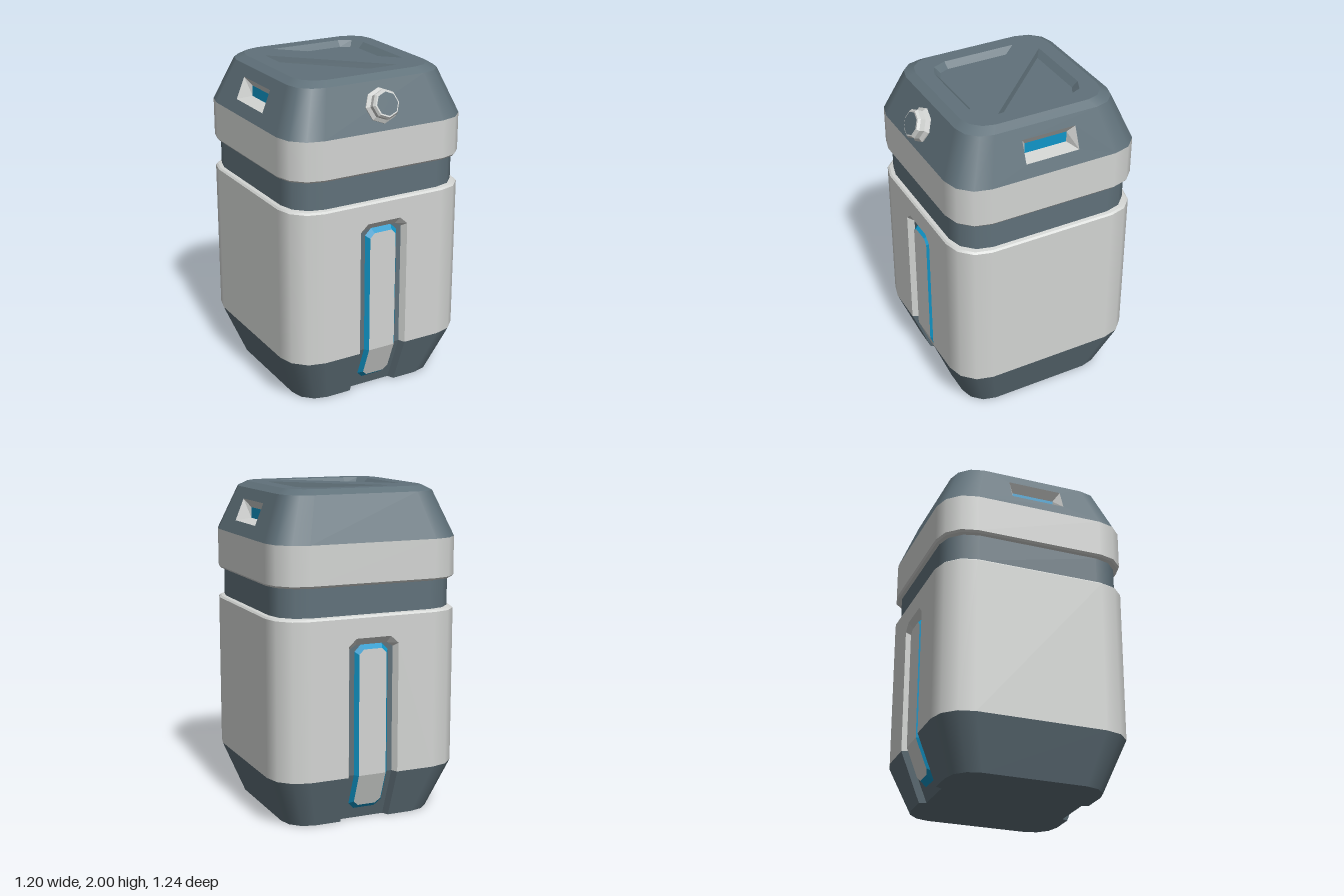
import * as THREE from 'three';
import { mergeGeometries } from 'three/addons/utils/BufferGeometryUtils.js';

const V = (x, y, z) => new THREE.Vector3(x, y, z);
const shapeOf = (pts) => new THREE.Shape(pts.map(([x, y]) => new THREE.Vector2(x, y)));
const lerp = THREE.MathUtils.lerp;

// Body half-width at a height, for the channel region
const bodyHalf = (y) => (y < 0.31 ? lerp(0.48, 0.6, y / 0.31) : 0.6);
const DEPTH = 0.04;

// Flat quads joining two matching rows of points
function bridge(a, b, closed = false) {
  const pos = [];
  const n = a.length;
  for (let i = 0; i < (closed ? n : n - 1); i++) {
    const j = (i + 1) % n;
    for (const p of [a[i], a[j], b[j], a[i], b[j], b[i]]) pos.push(p.x, p.y, p.z);
  }
  const g = new THREE.BufferGeometry();
  g.setAttribute('position', new THREE.Float32BufferAttribute(pos, 3));
  g.computeVertexNormals();
  return g;
}

// Flat shapes whose depth follows a rule z = f(y)
function plate(shapes, f) {
  const g = new THREE.ShapeGeometry(shapes).toNonIndexed();
  g.deleteAttribute('uv');
  const p = g.attributes.position;
  for (let i = 0; i < p.count; i++) p.setZ(i, f(p.getY(i)));
  g.computeVertexNormals();
  return g;
}

// Rounded-square loop, three segments per corner, with optional channel notches
function ringLoop(h, notch = false) {
  const pts = [];
  for (let k = 0; k < 4; k++) {
    for (let i = 0; i <= 3; i++) {
      const a = (i * Math.PI) / 6;
      const v = new THREE.Vector2(0.4 + 0.2 * Math.cos(a), 0.4 + 0.2 * Math.sin(a));
      v.multiplyScalar(h / 0.6).rotateAround(new THREE.Vector2(), (k * Math.PI) / 2);
      pts.push([v.x, v.y]);
    }
    if (notch && k % 2 === 0) {
      const s = k === 0 ? 1 : -1;
      for (const [x, y] of [[0.16, h], [0.14, h - DEPTH], [-0.14, h - DEPTH], [-0.16, h]]) pts.push([x * s, y * s]);
    }
  }
  return pts;
}

// One horizontal band of the shell; cuts maps a side number to its own face shapes
function band(h0, y0, h1, y1, cuts = {}) {
  const half = (y) => lerp(h0, h1, (y - y0) / (y1 - y0));
  const parts = [];
  for (let k = 0; k < 4; k++) {
    const w0 = (h0 * 2) / 3, w1 = (h1 * 2) / 3;
    const face = plate(cuts[k] || shapeOf([[-w0, y0], [w0, y0], [w1, y1], [-w1, y1]]), half);
    const row = (h, y) => [3, 2, 1, 0].map((i) => {
      const a = (i * Math.PI) / 6;
      return V(0.4 + 0.2 * Math.cos(a), 0, 0.4 + 0.2 * Math.sin(a)).multiplyScalar(h / 0.6).setY(y);
    });
    const corner = bridge(row(h0, y0), row(h1, y1));
    // smooth normals around the corner
    const p = corner.attributes.position;
    for (let i = 0; i < p.count; i++) {
      const s = 0.6 / half(p.getY(i));
      const a = Math.atan2(p.getZ(i) * s - 0.4, p.getX(i) * s - 0.4);
      const c = Math.cos(a), d = Math.sin(a);
      const n = V(c * (y1 - y0), ((h0 - h1) * (0.4 * (c + d) + 0.2)) / 0.6, d * (y1 - y0)).normalize();
      corner.attributes.normal.setXYZ(i, n.x, n.y, n.z);
    }
    for (const g of [face, corner]) parts.push(g.rotateY((k * Math.PI) / 2));
  }
  return mergeGeometries(parts);
}

export function createModel() {
  const mat = (name, color) => Object.assign(new THREE.MeshStandardMaterial({ color }), { name });
  const light = mat('light grey', 0xd2d4d2);
  const slate = mat('slate', 0x60717a);
  const blue = mat('blue', 0x1096c8);

  const model = new THREE.Group();
  model.name = 'container';
  const shell = new THREE.Group();
  shell.name = 'shell';
  shell.position.z = -0.02;
  model.add(shell);
  const add = (name, geo, material, parent = shell) => {
    const m = new THREE.Mesh(geo, material);
    m.name = name;
    parent.add(m);
    return m;
  };

  // Tapered base and main body, open where the front and back channels run
  const baseCut = [1, -1].map((s) => {
    const q = [[0.16, 0], [0.32, 0], [0.4, 0.31], [0.16, 0.31]].map(([x, y]) => [x * s, y]);
    return shapeOf(s > 0 ? q : q.reverse());
  });
  const bodyCut = shapeOf([[-0.4, 0.31], [-0.16, 0.31], [-0.16, 1.1], [-0.11, 1.145], [0.11, 1.145],
    [0.16, 1.1], [0.16, 0.31], [0.4, 0.31], [0.4, 1.265], [-0.4, 1.265]]);
  add('base', band(0.48, 0, 0.6, 0.31, { 0: baseCut, 2: baseCut }), slate);
  add('underside', plate(shapeOf(ringLoop(0.48, true)), () => 0).rotateX(Math.PI / 2), slate);
  add('body', band(0.6, 0.31, 0.6, 1.265, { 0: bodyCut, 2: bodyCut }), light);
  add('bodyRim', mergeGeometries([band(0.6, 1.265, 0.59, 1.275), band(0.59, 1.275, 0.57, 1.28)]), light);

  // Groove and collar
  add('groove', band(0.57, 1.28, 0.57, 1.45), slate);
  add('collar', mergeGeometries([band(0.57, 1.45, 0.59, 1.455), band(0.59, 1.455, 0.6, 1.467),
    band(0.6, 1.467, 0.6, 1.7)]), light);

  // Lid with an opening for each side handle
  const rect = (w, y0, y1) => [[-w, y0], [w, y0], [w, y1], [-w, y1]];
  const lidCut = shapeOf([[-0.4, 1.7], [0.4, 1.7], [0.98 / 3, 1.97], [-0.98 / 3, 1.97]]);
  const opening = rect(0.17, 1.775, 1.905);
  lidCut.holes.push(shapeOf(opening));
  add('lid', band(0.6, 1.7, 0.49, 1.97, { 1: lidCut, 3: lidCut }), slate);
  add('lidBevel', band(0.49, 1.97, 0.44, 2), slate);

  // Lid top with two triangular recesses
  const outerTri = [[0.345, -0.23], [0.345, 0.23], [0.31, 0.315], [0.23, 0.35], [-0.23, 0.35]];
  const innerTri = [[0.31, -0.185], [0.31, 0.225], [0.285, 0.285], [0.225, 0.315], [-0.185, 0.315]];
  const top = shapeOf(ringLoop(0.44));
  for (const s of [1, -1]) {
    const turn = (pts) => pts.map(([x, y]) => [x * s, y * s]);
    const [o, n] = [turn(outerTri), turn(innerTri)];
    top.holes.push(shapeOf(o));
    const recess = mergeGeometries([
      bridge(o.map(([x, y]) => V(x, y, 2)), n.map(([x, y]) => V(x, y, 1.965)), true),
      plate(shapeOf(n), () => 1.965),
    ]);
    add('lidRecess', recess.rotateX(-Math.PI / 2), slate);
  }
  add('lidTop', plate(top, () => 2).rotateX(-Math.PI / 2), slate);

  // Side handle pockets
  const pocket = rect(0.135, 1.79, 1.855);
  for (const s of [1, -1]) {
    const handle = new THREE.Group();
    handle.name = s > 0 ? 'leftHandle' : 'rightHandle';
    handle.rotation.y = (s * Math.PI) / 2;
    shell.add(handle);
    const lidHalf = (y) => lerp(0.6, 0.49, (y - 1.7) / 0.27);
    add('pocketWalls', bridge(opening.map(([x, y]) => V(x, y, lidHalf(y))),
      pocket.map(([x, y]) => V(x, y, 0.48)), true), light, handle);
    add('pocketBack', plate(shapeOf(pocket), () => 0.48), blue, handle);
  }

  // Channels with a blue-edged insert, front and back
  const at = (pts, d) => pts.map(([x, y]) => V(x, y, bodyHalf(y) - d));
  const mirrored = (pts) => [...pts, ...pts.map(([x, y]) => [-x, y]).reverse()];
  const wallOut = mirrored([[0.16, 0.31], [0.16, 1.1], [0.11, 1.145]]);
  const wallIn = mirrored([[0.14, 0.31], [0.14, 1.075], [0.1, 1.1]]);
  const octagon = (w, y0, y1, c) => mirrored([[w - c, y0], [w, y0 + c], [w, 0.31], [w, y1 - c], [w - c, y1]]);
  const edge = octagon(0.108, 0.07, 1.1, 0.04);
  const pane = octagon(0.088, 0.1, 1.075, 0.03);
  for (const k of [0, 1]) {
    const channel = new THREE.Group();
    channel.name = k ? 'backChannel' : 'frontChannel';
    channel.rotation.y = k * Math.PI;
    shell.add(channel);
    add('channelWalls', bridge(at(wallOut, 0), at(wallIn, DEPTH)), light, channel);
    add('lowerChannelWalls', mergeGeometries([
      bridge(at([[0.16, 0], [0.16, 0.31]], 0), at([[0.14, 0], [0.14, 0.31]], DEPTH)),
      bridge(at([[-0.16, 0.31], [-0.16, 0]], 0), at([[-0.14, 0.31], [-0.14, 0]], DEPTH)),
    ]), slate, channel);
    add('channelFloor', plate([shapeOf(wallIn), shapeOf(rect(0.14, 0, 0.31))], (y) => bodyHalf(y) - DEPTH), slate, channel);
    add('insertEdge', bridge(at(edge, DEPTH), at(pane, 0.012), true), blue, channel);
    const lower = pane.filter(([, y]) => y <= 0.31);
    const upper = pane.filter(([, y]) => y >= 0.31);
    add('insertPane', plate([shapeOf(lower), shapeOf(upper)], (y) => bodyHalf(y) - 0.012), light, channel);
  }

  // Spout on the sloping front of the lid
  const spout = new THREE.Group();
  spout.name = 'spout';
  spout.position.set(0, 1.835, 0.527);
  spout.rotation.x = Math.PI / 2 - 0.387;
  model.add(spout);
  const profile = [[0.105, -0.03], [0.105, 0.005], [0.085, 0.022], [0.088, 0.055], [0.078, 0.07], [0, 0.07]];
  const nozzle = new THREE.LatheGeometry(profile.map(([r, y]) => new THREE.Vector2(r, y)), 8).toNonIndexed();
  nozzle.computeVertexNormals();
  add('nozzle', nozzle, light, spout);
  add('nozzleCap', new THREE.CircleGeometry(0.07, 8).rotateZ(Math.PI / 2).rotateX(-Math.PI / 2).translate(0, 0.073, 0), slate, spout);

  return model;
}
